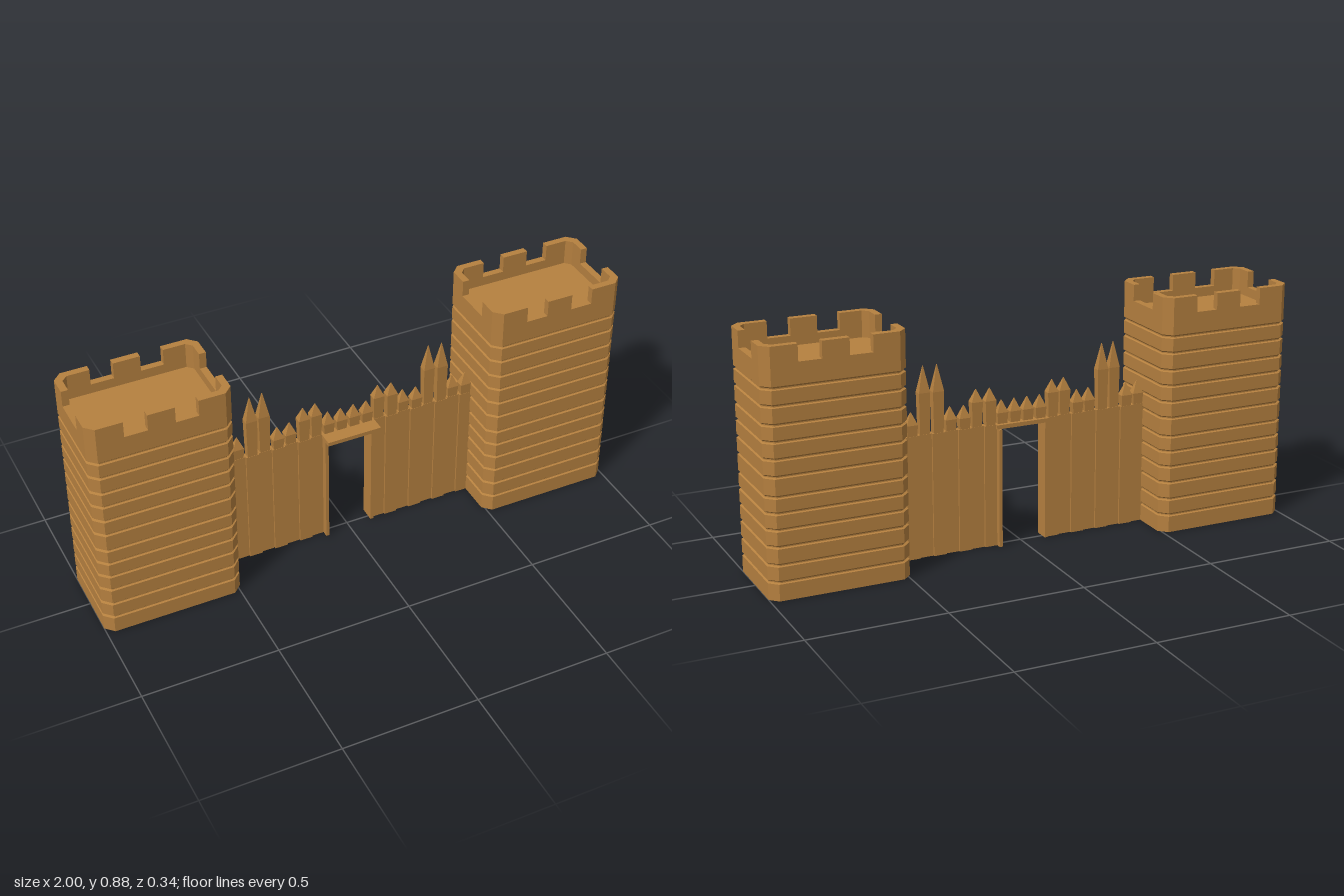
import * as THREE from 'three';

const wood = new THREE.MeshStandardMaterial({ color: 0xb5803f });
wood.name = 'wood';

function add(parent, name, geometry, x = 0, y = 0, z = 0) {
  const mesh = new THREE.Mesh(geometry, wood);
  mesh.name = name;
  mesh.position.set(x, y, z);
  parent.add(mesh);
  return mesh;
}

function box(parent, name, x0, x1, y0, y1, z0, z1) {
  add(parent, name, new THREE.BoxGeometry(x1 - x0, y1 - y0, z1 - z0),
    (x0 + x1) / 2, (y0 + y1) / 2, (z0 + z1) / 2);
}

// Rectangle outline with optional cut corners, running from +x towards +z
function ring(y, hx, hz, cut = 0) {
  const p = (x, z) => new THREE.Vector3(x, y, z);
  if (!cut) return [p(hx, -hz), p(hx, hz), p(-hx, hz), p(-hx, -hz)];
  return [p(hx, -hz + cut), p(hx, hz - cut), p(hx - cut, hz), p(-hx + cut, hz),
    p(-hx, hz - cut), p(-hx, -hz + cut), p(-hx + cut, -hz), p(hx - cut, -hz)];
}

// Flat-shaded skin through rings, capped at both ends
function loft(rings) {
  const pts = [];
  const n = rings[0].length;
  const first = rings[0], last = rings[rings.length - 1];
  for (let i = 0; i < rings.length - 1; i++) {
    for (let j = 0; j < n; j++) {
      const k = (j + 1) % n;
      const a = rings[i][j], b = rings[i][k], c = rings[i + 1][j], d = rings[i + 1][k];
      pts.push(a, c, b, b, c, d);
    }
  }
  for (let j = 1; j < n - 1; j++) {
    pts.push(first[0], first[j], first[j + 1]);
    pts.push(last[0], last[j + 1], last[j]);
  }
  const g = new THREE.BufferGeometry().setFromPoints(pts);
  g.computeVertexNormals();
  return g;
}

const HX = 0.255, HZ = 0.17, CUT = 0.03, WALL = 0.025;
const PARAPET = 0.82, TOP = 0.88, FLOOR = 0.785;

function makeTower(name, x) {
  const tower = new THREE.Group();
  tower.name = name;
  tower.position.x = x;

  // Stacked planks with grooves between, then the hollow parapet
  const grooves = [0.065, 0.126, 0.19, 0.25, 0.308, 0.365, 0.435, 0.495, 0.555, 0.613, 0.677, 0.737];
  const inset = 0.006;
  const rings = [ring(0, HX, HZ, CUT)];
  for (const y of grooves) {
    rings.push(ring(y - 0.005, HX, HZ, CUT));
    rings.push(ring(y - 0.002, HX - inset, HZ - inset, CUT));
    rings.push(ring(y + 0.002, HX - inset, HZ - inset, CUT));
    rings.push(ring(y + 0.008, HX, HZ, CUT));
  }
  rings.push(ring(PARAPET, HX, HZ, CUT));
  rings.push(ring(PARAPET, HX - WALL, HZ - WALL, 0.02));
  rings.push(ring(FLOOR, HX - WALL, HZ - WALL, 0.02));
  add(tower, 'towerBody', loft(rings));

  // Corner merlons wrap around the cut corners
  const gx = 0.13, gz = 0.07, ix = HX - WALL, iz = HZ - WALL;
  for (const sx of [-1, 1]) {
    for (const sz of [-1, 1]) {
      const outline = [[HX, gz], [HX, HZ - CUT], [HX - CUT, HZ], [gx, HZ],
        [gx, iz], [ix - 0.02, iz], [ix, iz - 0.02], [ix, gz]];
      const shape = new THREE.Shape(outline.map(([a, b]) => new THREE.Vector2(a * sx, b * sz)));
      const g = new THREE.ExtrudeGeometry(shape, { depth: TOP - PARAPET, bevelEnabled: false });
      g.rotateX(-Math.PI / 2);
      add(tower, 'cornerMerlon', g, 0, PARAPET, 0);
    }
  }
  // Middle merlons on the long walls
  box(tower, 'frontMerlon', -0.048, 0.048, PARAPET, TOP, iz, HZ);
  box(tower, 'backMerlon', -0.048, 0.048, PARAPET, TOP, -HZ, -iz);
  return tower;
}

// Sharpened stake: straight board, narrower neck, pointed tip
function stake(base, peak) {
  const shoulder = 0.455;
  const tip = peak - (peak > 0.65 ? 0.095 : 0.045);
  const rings = [];
  if (base < shoulder - 0.02) {
    rings.push(ring(base, 0.0245, 0.014), ring(shoulder, 0.0245, 0.014));
  }
  rings.push(ring(shoulder, 0.018, 0.013), ring(tip, 0.021, 0.015), ring(peak, 0.001, 0.001));
  return loft(rings);
}

export function createModel() {
  const model = new THREE.Group();
  model.name = 'woodenFort';
  model.add(makeTower('leftTower', 0.745), makeTower('rightTower', -0.745));

  // Palisade on both sides of the gate
  const fence = new THREE.Group();
  fence.name = 'palisade';
  model.add(fence);
  const peaks = [0.59, 0.59, 0.54, 0.54, 0.7, 0.7, 0.54, 0.54];
  for (const side of [-1, 1]) {
    peaks.forEach((peak, i) => {
      const z = i % 2 ? 0.003 : -0.003;
      add(fence, 'stake', stake(0, peak), side * (0.122 + i * 0.0498), 0, z);
    });
  }

  // Gate frame with short stakes above
  const gate = new THREE.Group();
  gate.name = 'gate';
  model.add(gate);
  box(gate, 'lintel', -0.103, 0.103, 0.44, 0.455, -0.027, 0.065);
  box(gate, 'rightJamb', -0.1, -0.088, 0, 0.44, -0.022, 0.035);
  box(gate, 'leftJamb', 0.088, 0.1, 0, 0.44, -0.038, 0.02);
  for (const x of [-0.075, -0.025, 0.025, 0.075]) {
    add(gate, 'lintelStake', stake(0.455, 0.54), x, 0, 0);
  }
  return model;
}
